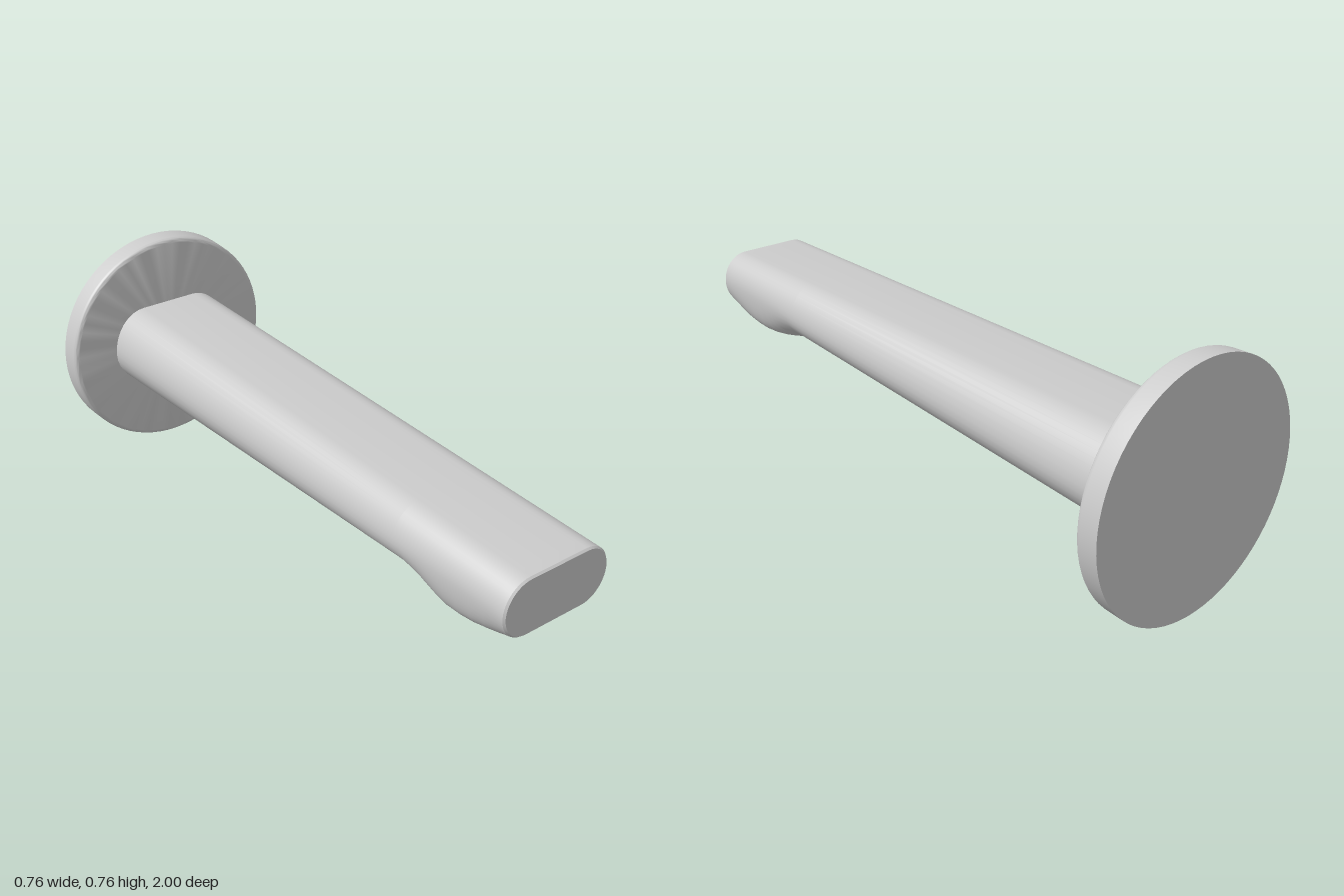
import * as THREE from 'three';
import { toCreasedNormals } from 'three/addons/utils/BufferGeometryUtils.js';

const mat = new THREE.MeshStandardMaterial({ color: 0xcccccc });
const matBack = new THREE.MeshStandardMaterial({ color: 0xcccccc, side: THREE.BackSide });

const TOP = 0.53, Z0 = -0.95, LIP = 0.994;
const HOLE_Z = 0.82, HOLE_R = 0.135;
const planeY = z => 0.345 - 0.128 * (1 - z);   // tilted underside around the outlet
const lerp = THREE.MathUtils.lerp;

// Stations along the spout: [z, underside height, half width of the flat underside]
const stations = [
  [Z0, 0.231, 0.03], [0.57, 0.322, 0.035], [0.6, 0.324, 0.04], [0.635, 0.314, 0.045],
  ...[[0.665, 0.05], [0.68, 0.075], [0.7, 0.1], [0.73, 0.126], [0.77, 0.144], [0.82, 0.15],
    [0.87, 0.148], [0.92, 0.136], [0.96, 0.12], [LIP, 0.1]].map(([z, f]) => [z, planeY(z), f]),
];

function mesh(name, geometry, material = mat) {
  const m = new THREE.Mesh(geometry, material);
  m.name = name;
  return m;
}

// Half-flat, half-rounded cross-section, counterclockwise from the lower right
function section(z, bottom, flat, inset = 0) {
  const t = (z - Z0) / (1 - Z0), n = 10, right = [];
  const w = lerp(0.22, 0.185, t) - inset, mid = lerp(0.38, 0.438, t);
  const top = TOP - inset, low = bottom + inset;
  for (let i = 0; i <= 2 * n; i++) {
    const a = -Math.PI / 2 + (i / n) * Math.PI / 2;
    const f = a < 0 ? flat : 0.1;
    const h = a < 0 ? mid - low : top - mid;
    right.push([f + (w - f) * Math.cos(a), mid + h * Math.sin(a), z]);
  }
  return [...right, ...right.slice().reverse().map(([x, y, zz]) => [-x, y, zz])];
}

function spoutGeometry() {
  const rings = stations.map(s => section(...s));
  rings.push(section(1, planeY(1), 0.1, 0.005));
  const n = rings[0].length, index = [];
  const pos = rings.flat();
  for (let j = 0; j < rings.length - 1; j++) {
    const open = j < stations.length - 1 && stations[j][0] >= 0.665;
    for (let i = 0; i < n; i++) {
      if (open && i === n - 1) continue;      // the outlet plate fills this strip
      const k = (i + 1) % n, a = j * n + i, b = j * n + k;
      index.push(a, b, b + n, a, b + n, a + n);
    }
  }
  // front cap
  const c = pos.length, first = (rings.length - 1) * n;
  pos.push([0, 0.438, 1]);
  for (let i = 0; i < n; i++) index.push(c, first + i, first + (i + 1) % n);
  const g = new THREE.BufferGeometry();
  g.setAttribute('position', new THREE.Float32BufferAttribute(pos.flat(), 3));
  g.setIndex(index);
  return toCreasedNormals(g, 0.5);
}

// Flat underside with a round opening
function outletPlateGeometry() {
  const edge = stations.filter(s => s[0] >= 0.665);
  const shape = new THREE.Shape([
    ...edge.map(([z, , f]) => new THREE.Vector2(f, z)),
    ...edge.slice().reverse().map(([z, , f]) => new THREE.Vector2(-f, z)),
  ]);
  shape.holes.push(new THREE.Path().absarc(0, HOLE_Z, HOLE_R, 0, Math.PI * 2, true));
  const g = new THREE.ShapeGeometry(shape, 24);
  const p = g.attributes.position;
  for (let i = 0; i < p.count; i++) {
    const z = p.getY(i);
    p.setXYZ(i, p.getX(i), planeY(z), z);
  }
  g.computeVertexNormals();
  return g;
}

// Wall of the opening, its lower edge following the tilted underside
function recessWallGeometry() {
  const g = new THREE.CylinderGeometry(HOLE_R, HOLE_R, 1, 48, 1, true);
  const p = g.attributes.position;
  for (let i = 0; i < p.count; i++) {
    const z = p.getZ(i) + HOLE_Z;
    p.setXYZ(i, p.getX(i), p.getY(i) < 0 ? planeY(z) : 0.38, z);
  }
  return g;
}

function lathe(points, segments) {
  const g = new THREE.LatheGeometry(points.map(p => new THREE.Vector2(...p)), segments);
  return toCreasedNormals(g, 0.6);
}

function createAerator() {
  const group = new THREE.Group();
  group.name = 'aerator';
  group.add(mesh('aeratorRing', lathe([
    [0, 0.016], [0.072, 0.016], [0.075, 0.003], [0.079, 0], [0.093, 0],
    [0.098, 0.003], [0.1, 0.008], [0.1, 0.09],
  ], 48)));
  // perforated spray plate
  const disc = new THREE.Shape().absarc(0, 0, 0.071, 0, Math.PI * 2);
  for (let r = 1; r <= 3; r++) {
    for (let i = 0; i < r * 6; i++) {
      const a = (i / (r * 6)) * Math.PI * 2;
      disc.holes.push(new THREE.Path().absarc(
        Math.cos(a) * r * 0.018, Math.sin(a) * r * 0.018, 0.003, 0, Math.PI * 2, true));
    }
  }
  const plate = mesh('sprayPlate', new THREE.ExtrudeGeometry(disc,
    { depth: 0.005, bevelEnabled: false, curveSegments: 16 }));
  plate.rotation.x = Math.PI / 2;
  plate.position.y = 0.012;
  group.add(plate);
  group.position.set(0, 0.302, 0.838);
  group.rotation.x = -0.25;
  return group;
}

export function createModel() {
  const model = new THREE.Group();
  model.name = 'wallSpout';

  // round wall flange with a softened front edge
  const rim = [];
  for (let i = 0; i <= 6; i++) {
    const a = (i / 6) * Math.PI / 2;
    rim.push([0.362 + 0.016 * Math.cos(a), -0.941 + 0.016 * Math.sin(a)]);
  }
  const flange = mesh('wallFlange', lathe([[0, -1], [0.38, -1], ...rim, [0, -0.925]], 72));
  flange.rotation.x = Math.PI / 2;
  flange.position.y = 0.38;
  model.add(flange);

  model.add(mesh('spoutBody', spoutGeometry()));
  model.add(mesh('outletPlate', outletPlateGeometry()));
  model.add(mesh('recessWall', recessWallGeometry(), matBack));

  const ceiling = mesh('recessCeiling', new THREE.CircleGeometry(HOLE_R, 48));
  ceiling.rotation.x = Math.PI / 2;
  ceiling.position.set(0, 0.38, HOLE_Z);
  model.add(ceiling);

  model.add(createAerator());
  return model;
}
